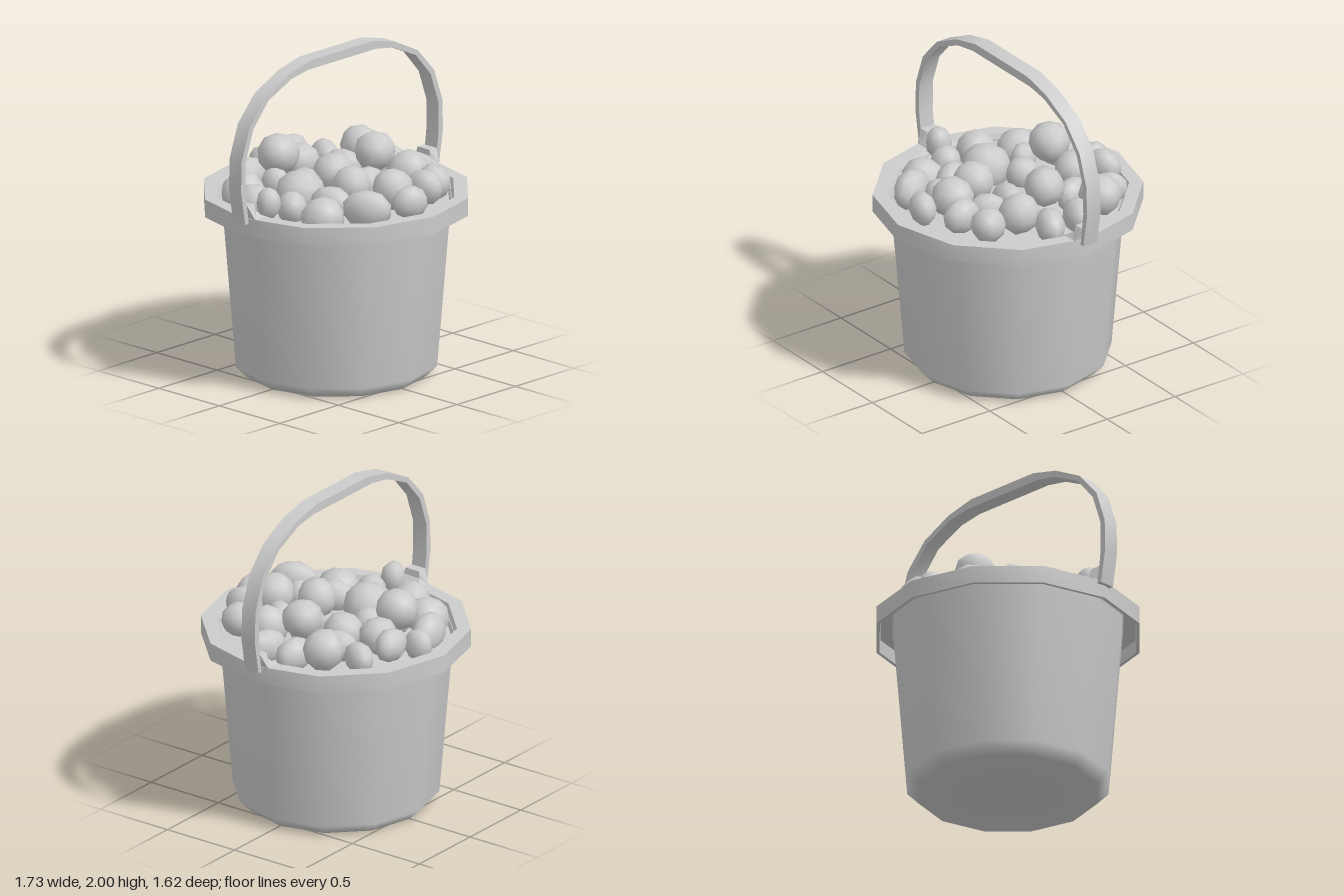
import * as THREE from 'three';
import { mergeVertices, toCreasedNormals } from 'three/addons/utils/BufferGeometryUtils.js';

const SIDES = 12;
const material = new THREE.MeshStandardMaterial({ color: 0xcccccc });
const openMaterial = new THREE.MeshStandardMaterial({ color: 0xcccccc, side: THREE.DoubleSide });

function addMesh(parent, name, geometry, mat = material) {
  const mesh = new THREE.Mesh(geometry, mat);
  mesh.name = name;
  parent.add(mesh);
  return mesh;
}

const lathe = (points) => new THREE.LatheGeometry(points.map(([x, y]) => new THREE.Vector2(x, y)), SIDES);

function extrude(points, depth) {
  const shape = new THREE.Shape(points.map(([x, y]) => new THREE.Vector2(x, y)));
  return new THREE.ExtrudeGeometry(shape, { depth, bevelEnabled: false }).translate(0, 0, -depth / 2);
}

// Low-poly pebble with softly uneven radius
function pebbleGeometry(seed) {
  let g = new THREE.IcosahedronGeometry(1, 1);
  g.deleteAttribute('normal');
  g.deleteAttribute('uv');
  g = mergeVertices(g);
  g.rotateX(seed * 1.3).rotateY(seed * 2.1);
  const p = g.attributes.position;
  for (let i = 0; i < p.count; i++) {
    const v = new THREE.Vector3().fromBufferAttribute(p, i);
    v.multiplyScalar(1.02 + 0.05 * Math.sin(3 * v.x + seed) * Math.cos(2.5 * v.z - seed * 2 + v.y));
    p.setXYZ(i, v.x, v.y, v.z);
  }
  return g;
}

// Round pebbles: x, z, radius, top height where it differs from the usual
const ROUND = [
  [-0.41, -0.37, 0.13], [-0.1, -0.38, 0.125, 1.41], [0.11, -0.4, 0.115, 1.3], [0.52, -0.3, 0.125, 1.34],
  [-0.535, -0.155, 0.12], [-0.09, -0.175, 0.1], [0.14, -0.16, 0.12, 1.28], [-0.27, -0.035, 0.148, 1.3],
  [0.35, -0.015, 0.12, 1.4], [-0.63, 0.05, 0.075, 1.29], [-0.485, 0.105, 0.092], [-0.075, 0.2, 0.12, 1.33],
  [0.4, 0.21, 0.125, 1.32], [-0.435, 0.31, 0.13], [-0.17, 0.4, 0.08], [0.035, 0.435, 0.125, 1.34],
  [0.39, 0.43, 0.105, 1.28],
];

// Long pebbles: x, z, half length, turn of the long axis from x, top height
const LONG = [
  [-0.2, -0.535, 0.15, 0.15], [0.01, -0.62, 0.095, 1.4], [0.2, -0.56, 0.12, 0.1, 1.3],
  [0.38, -0.46, 0.115, 1.15], [0.31, -0.25, 0.125, 2], [-0.23, -0.28, 0.09, 1.8],
  [0.56, -0.11, 0.13, -0.2], [-0.27, 0.22, 0.125, 2], [0.15, 0.105, 0.135, 0],
  [0.56, 0.1, 0.13, -0.4], [0.18, 0.28, 0.115, 1.1], [-0.27, 0.515, 0.15, 2, 1.29],
  [0.23, 0.51, 0.125, 1.65, 1.3], [-0.01, 0.62, 0.11, -0.4, 1.28],
];

export function createModel() {
  const model = new THREE.Group();
  model.name = 'bucketOfPebbles';

  // Tapered body with a bevelled foot
  addMesh(model, 'body', lathe([[0, 0], [0.55, 0], [0.62, 0.07], [0.705, 1.1]]), openMaterial);

  // Hollow skirt rim and inner wall
  addMesh(model, 'rim', toCreasedNormals(lathe([
    [0.705, 1.1], [0.785, 1.1], [0.79, 1.02], [0.81, 1.02],
    [0.81, 1.13], [0.725, 1.13], [0.68, 1.04],
  ]), 0.7), openMaterial);

  // Bed beneath the loose pebbles
  addMesh(model, 'pebbleBed', lathe([[0.695, 1.07], [0, 1.09]]), openMaterial);

  // Loose pebbles heaped on the bed
  const pebbles = new THREE.Group();
  pebbles.name = 'pebbles';
  model.add(pebbles);
  const addPebble = (x, z, length, width, turn, top) => {
    const height = Math.max(0.1, (length + width) / 2);
    const geometry = pebbleGeometry(pebbles.children.length + 1).scale(length, height, width);
    geometry.computeVertexNormals();
    const mesh = addMesh(pebbles, 'pebble', geometry);
    mesh.position.set(x, top - height, z);
    mesh.rotation.y = turn;
  };
  for (const [x, z, r, top = 1.24] of ROUND) addPebble(x, z, r, r, 0, top);
  for (const [x, z, r, turn, top = 1.25] of LONG) addPebble(x, z, r, 0.04 + 0.35 * r, turn, top);

  // Flat handle band with a thicker grip at the top
  const outer = [[0.83, 1.1], [0.865, 1.31], [0.86, 1.5], [0.79, 1.7], [0.65, 1.855], [0.45, 1.955], [0.26, 2]];
  const inner = [[0.29, 1.945], [0.435, 1.92], [0.63, 1.83], [0.76, 1.68], [0.826, 1.49], [0.827, 1.31], [0.8, 1.1]];
  const mirror = (points) => points.map(([x, y]) => [-x, y]).reverse();
  const band = [...outer, ...mirror(outer), ...mirror(inner), ...inner];
  addMesh(model, 'handle', toCreasedNormals(extrude(band, 0.1), 0.5));

  // Handle lugs: a curved bracket that widens towards the rim
  const profile = [[0.67, 1.12], [0.81, 1.12], [0.81, 1.21], [0.75, 1.21], [0.745, 1.17], [0.72, 1.145]];
  for (const side of [1, -1]) {
    const g = extrude(profile, 0.1);
    const p = g.attributes.position;
    for (let i = 0; i < p.count; i++) {
      const flare = Math.max(0, (1.18 - p.getY(i)) / 0.06);
      p.setZ(i, p.getZ(i) * (1 + 0.9 * flare));
      if (flare > 0) p.setX(i, Math.min(p.getX(i), 0.785));
    }
    g.computeVertexNormals();
    addMesh(model, side > 0 ? 'leftLug' : 'rightLug', g).rotation.y = side > 0 ? 0 : Math.PI;
  }
  return model;
}
